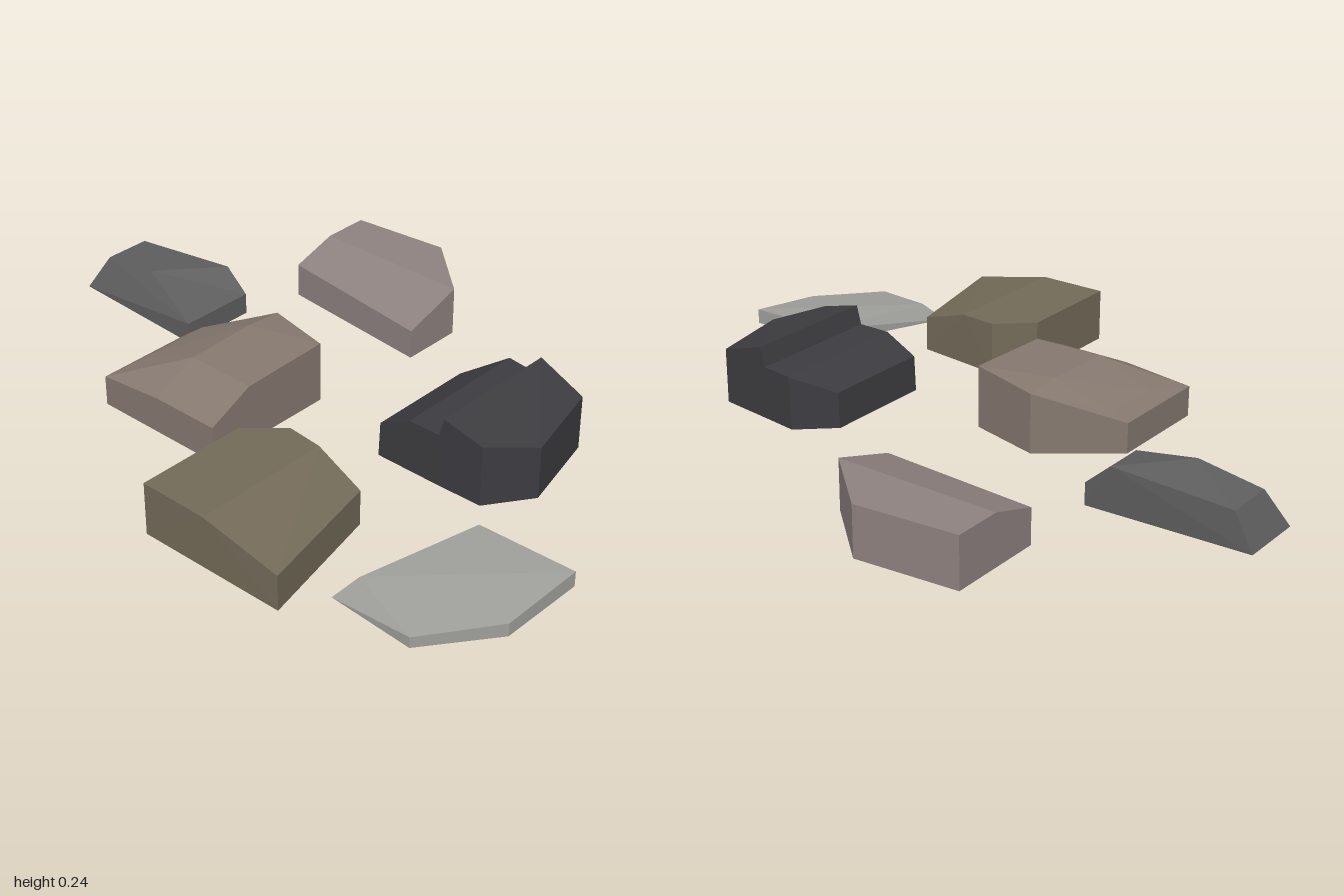
import * as THREE from 'three';
import { ConvexGeometry } from 'three/addons/geometries/ConvexGeometry.js';

// One convex, flat-faced block: a ground outline [x, z] at height y0 plus upper corners [x, y, z]
function block(y0, outline, upper) {
  const points = outline.map(([x, z]) => new THREE.Vector3(x, y0, z));
  upper.forEach((p) => points.push(new THREE.Vector3(...p)));
  return new ConvexGeometry(points);
}

// A stone made of one or more blocks
function stone(name, color, ...blocks) {
  const group = new THREE.Group();
  group.name = name;
  const material = new THREE.MeshStandardMaterial({ color, flatShading: true });
  blocks.forEach((geometry, i) => {
    const mesh = new THREE.Mesh(geometry, material);
    mesh.name = `${name}Block${i + 1}`;
    group.add(mesh);
  });
  return group;
}

export function createModel() {
  const model = new THREE.Group();
  model.name = 'stones';

  // Mauve stone: flat top with a sloping side
  model.add(stone('mauveStone', 0x8f8280, block(0,
    [[0.43, -0.515], [0.72, -0.515], [0.75, -0.21], [0.575, -0.015], [0.38, -0.015]],
    [[0.38, 0.09, -0.015], [0.575, 0.15, -0.015], [0.75, 0.15, -0.21],
      [0.72, 0.15, -0.515], [0.575, 0.15, -0.515], [0.43, 0.105, -0.515]])));

  // Brown stone: bevelled back and side
  model.add(stone('brownStone', 0x867970, block(0.03,
    [[-0.42, -0.45], [-0.105, -0.45], [0.053, -0.24], [0, -0.025], [-0.42, -0.025]],
    [[-0.42, 0.14, -0.025], [-0.28, 0.205, -0.025], [0, 0.214, -0.025],
      [-0.42, 0.14, -0.24], [-0.28, 0.207, -0.24], [-0.06, 0.214, -0.24], [0.053, 0.205, -0.24],
      [-0.275, 0.148, -0.41], [-0.085, 0.148, -0.41],
      [-0.42, 0.12, -0.45], [-0.105, 0.12, -0.45]])));

  // Olive stone: flat back half, sloping front half
  model.add(stone('oliveStone', 0x746b59, block(0.03,
    [[-0.755, 0.075], [-0.42, 0.075], [-0.33, 0.175], [-0.36, 0.445], [-0.75, 0.53]],
    [[-0.755, 0.187, 0.075], [-0.42, 0.187, 0.075], [-0.33, 0.187, 0.175],
      [-0.34, 0.187, 0.285], [-0.755, 0.187, 0.285],
      [-0.36, 0.135, 0.445], [-0.75, 0.135, 0.53]])));

  // Black stone: raised front slab and a lower back step
  model.add(stone('blackStone', 0x3d3d41,
    block(0.03,
      [[-0.095, 0.48], [0.317, 0.48], [0.297, 0.65], [0.037, 0.71], [-0.092, 0.62]],
      [[-0.095, 0.187, 0.48], [0.317, 0.187, 0.48], [-0.095, 0.243, 0.495], [0.316, 0.243, 0.495],
        [0.297, 0.193, 0.65], [0.037, 0.188, 0.71], [-0.092, 0.212, 0.62]]),
    block(0.03,
      [[-0.095, 0.275], [0.24, 0.275], [0.33, 0.375], [0.317, 0.48], [-0.095, 0.48]],
      [[-0.095, 0.135, 0.28], [0.24, 0.135, 0.28], [-0.095, 0.187, 0.38], [0.33, 0.187, 0.38],
        [0.317, 0.187, 0.48], [-0.095, 0.187, 0.48]])));

  // Dark grey stone: notched wedge in front, tapering ridge behind
  model.add(stone('darkGreyStone', 0x5f5f5f,
    block(0.025,
      [[-0.03, -0.525], [0.21, -0.525], [-0.005, -1]],
      [[-0.03, 0.09, -0.525], [0.21, 0.09, -0.525], [0.035, 0.157, -0.75], [0.04, 0.13, -0.945]]),
    block(0.025,
      [[0.035, -0.75], [0.21, -0.525], [0.185, -1], [-0.005, -1]],
      [[0.21, 0.09, -0.525], [0.21, 0.157, -0.6], [0.035, 0.157, -0.75],
        [0.04, 0.13, -0.945], [0.185, 0.13, -0.945]])));

  // Light grey stone: thin, slightly tilted slab
  model.add(stone('lightGreyStone', 0x9f9f9b, block(0.018,
    [[-0.615, 0.58], [-0.63, 0.84], [-0.44, 0.985]],
    [[-0.21, 0.035, 0.71], [-0.2, 0.035, 1],
      [-0.63, 0.05, 0.84], [-0.565, 0.075, 0.625], [-0.21, 0.08, 0.71],
      [-0.2, 0.08, 1], [-0.44, 0.057, 0.985]])));

  return model;
}
